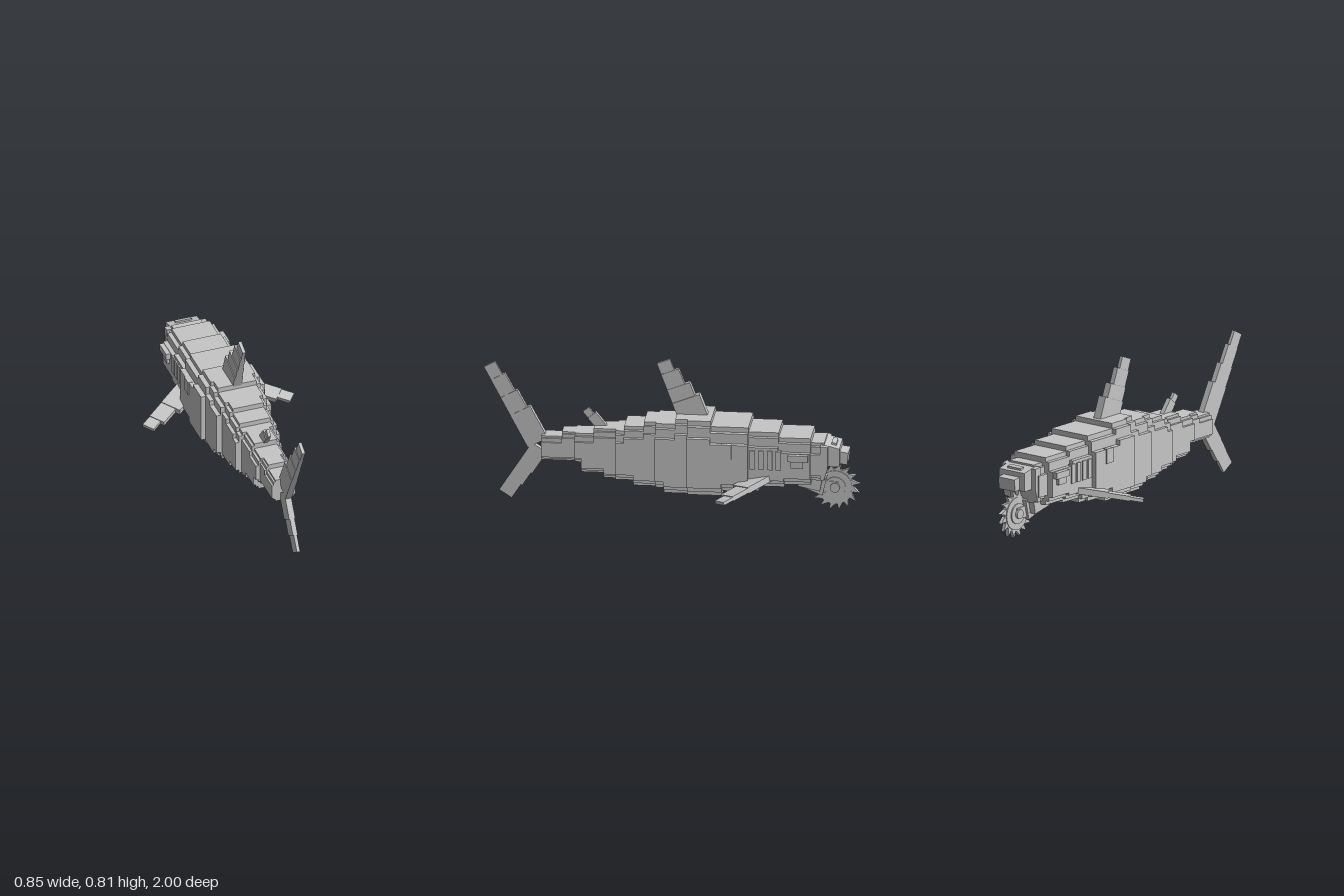
import * as THREE from 'three';

const V = (x, y, z) => new THREE.Vector3(x, y, z);

export function createModel() {
  const model = new THREE.Group();
  const grey = new THREE.MeshStandardMaterial({ color: 0xc6c6c6 });
  grey.name = 'stoneGrey';

  const add = (name, geometry, parent = model) => {
    const mesh = new THREE.Mesh(geometry, grey);
    mesh.name = name;
    parent.add(mesh);
    return mesh;
  };
  const group = (name) => {
    const g = new THREE.Group();
    g.name = name;
    model.add(g);
    return g;
  };
  // Box given by its limits on each axis
  const block = (name, x0, x1, y0, y1, z0, z1, parent) =>
    add(name, new THREE.BoxGeometry(x1 - x0, y1 - y0, z1 - z0)
      .translate((x0 + x1) / 2, (y0 + y1) / 2, (z0 + z1) / 2), parent);
  // Outline of [z, y] points extruded evenly about x = 0
  const sidePlate = (name, points, width, parent) =>
    add(name, new THREE.ExtrudeGeometry(new THREE.Shape(points.map((p) => new THREE.Vector2(...p))),
      { depth: width, bevelEnabled: false }).translate(0, 0, -width / 2).rotateY(-Math.PI / 2), parent);

  // Body: stepped slices, each list holds [end z, value] running from head to tail
  const tops = [[-0.75, 0.4], [-0.58, 0.43], [-0.42, 0.457], [-0.22, 0.485], [-0.03, 0.513],
    [0.14, 0.485], [0.245, 0.457], [0.41, 0.43], [0.58, 0.4], [0.69, 0.373]];
  const bottoms = [[-0.75, 0.19], [-0.61, 0.17], [-0.475, 0.155], [-0.28, 0.128], [0.03, 0.1],
    [0.195, 0.128], [0.355, 0.157], [0.475, 0.185], [0.69, 0.24]];
  const widths = [[-0.75, 0.12], [-0.42, 0.155], [-0.095, 0.18], [0.075, 0.155],
    [0.29, 0.125], [0.51, 0.092], [0.69, 0.067]];
  const at = (list, z) => list.find((e) => z < e[0])[1];
  const ends = [...new Set([...tops, ...bottoms, ...widths].map((e) => e[0]))].sort((a, b) => a - b);
  const body = group('body');
  let start = -0.82;
  for (const end of ends) {
    const z = (start + end) / 2;
    const top = at(tops, z), low = at(bottoms, z), w = at(widths, z), k = w / 0.18;
    block('bodyCore', -w + 0.055 * k, w - 0.055 * k, low, top, start, end, body);
    block('bodyShoulder', -w + 0.028 * k, w - 0.028 * k, low + 0.027 * k, top - 0.028 * k, start, end, body);
    block('bodySide', -w, w, low + 0.055 * k, top - 0.083 * k, start, end, body);
    start = end;
  }

  // Snout and upper jaw, tipped slightly down
  const snout = group('snout');
  sidePlate('snoutRoot', [[-0.8, 0.2], [-0.8, 0.39], [-0.84, 0.385], [-0.84, 0.265], [-0.82, 0.2]], 0.23, snout);
  sidePlate('snoutMiddle', [[-0.8, 0.27], [-0.8, 0.395], [-0.9, 0.37], [-0.9, 0.27]], 0.174, snout);
  sidePlate('snoutTip', [[-0.88, 0.28], [-0.88, 0.347], [-0.945, 0.338], [-0.938, 0.272]], 0.11, snout);
  sidePlate('noseRidge', [[-0.855, 0.375], [-0.855, 0.392], [-0.88, 0.386], [-0.88, 0.37]], 0.09, snout);

  // Eyes, gills and side panels on both sides
  for (const s of [1, -1]) {
    const side = s > 0 ? 'left' : 'right';
    const plate = (name, x0, x1, ...rest) => block(side + name, Math.min(s * x0, s * x1), Math.max(s * x0, s * x1), ...rest);
    plate('Brow', 0.1, 0.18, 0.32, 0.355, -0.74, -0.635);
    plate('Eye', 0.1, 0.17, 0.282, 0.32, -0.715, -0.65);
    for (let i = 0; i < 4; i++) {
      const z = -0.445 - i * 0.046;
      plate('Gill', 0.14, 0.163, 0.265, 0.37, z - 0.014, z + 0.014);
    }
    plate('FlankPanel', 0.16, 0.186, 0.325, 0.405, -0.335, -0.28);
  }

  // Lower jaw
  const jaw = group('lowerJaw');
  sidePlate('jawPlate', [[-0.66, 0.165], [-0.8, 0.22], [-0.83, 0.2], [-0.805, 0.09], [-0.67, 0.145]], 0.08, jaw);
  sidePlate('jawHinge', [[-0.68, 0.17], [-0.81, 0.21], [-0.795, 0.125], [-0.68, 0.15]], 0.15, jaw);
  sidePlate('jawArm', [[-0.79, 0.17], [-0.885, 0.165], [-0.885, 0.115], [-0.79, 0.1]], 0.055, jaw);

  // Toothed wheel with hooked teeth
  const saw = group('sawWheel');
  const sawY = 0.133, sawZ = -0.87, teeth = 16;
  const rim = [];
  for (let i = 0; i < teeth; i++) {
    const a = (i / teeth) * Math.PI * 2, step = (Math.PI * 2) / teeth;
    for (const [f, r] of [[0, 0.098], [0.62, 0.132], [0.72, 0.098]]) {
      rim.push([sawZ + r * Math.cos(a + f * step), sawY + r * Math.sin(a + f * step)]);
    }
  }
  sidePlate('sawBlade', rim, 0.02, saw);
  for (const [name, r, width] of [['sawDisc', 0.09, 0.03], ['sawRing', 0.056, 0.044], ['sawHub', 0.026, 0.07]]) {
    add(name, new THREE.CylinderGeometry(r, r, width, 16).toNonIndexed()
      .rotateZ(Math.PI / 2).translate(0, sawY, sawZ), saw);
  }

  // Fin of stacked slabs: steps run root to tip as [from, to, chord, thickness];
  // the edge towards edgeDir stays straight
  const fin = (name, root, tip, edgeDir, steps) => {
    const g = group(name);
    const axis = tip.clone().sub(root), length = axis.length();
    axis.normalize();
    const chordDir = edgeDir.clone().addScaledVector(axis, -edgeDir.dot(axis)).normalize();
    const normal = chordDir.clone().cross(axis).normalize();
    const tipChord = steps[steps.length - 1][2];
    for (const [t0, t1, chord, thick] of steps) {
      const slab = new THREE.BoxGeometry(chord, (t1 - t0) * length, thick);
      slab.applyMatrix4(new THREE.Matrix4().makeBasis(chordDir, axis, normal));
      const p = root.clone().addScaledVector(axis, ((t0 + t1) / 2) * length)
        .addScaledVector(chordDir, (tipChord - chord) / 2);
      add('finSlab', slab.translate(p.x, p.y, p.z), g);
    }
  };

  const back = V(0, 0, 1);
  fin('dorsalFin', V(0, 0.4, -0.11), V(0, 0.8, 0.045), back,
    [[0, 0.46, 0.155, 0.048], [0, 0.64, 0.13, 0.038], [0.4, 0.85, 0.1, 0.028], [0.6, 1, 0.075, 0.018]]);
  fin('rearDorsalFin', V(0, 0.38, 0.35), V(0, 0.515, 0.458), back,
    [[0, 0.75, 0.055, 0.026], [0.4, 1, 0.04, 0.016]]);
  fin('upperTailFin', V(0, 0.31, 0.735), V(0, 0.75, 0.97), back,
    [[0, 0.4, 0.12, 0.036], [0.2, 0.62, 0.1, 0.03], [0.4, 0.84, 0.085, 0.024], [0.6, 1, 0.068, 0.018]]);
  fin('lowerTailFin', V(0, 0.3, 0.71), V(0, 0.028, 0.885), back,
    [[0, 0.45, 0.095, 0.034], [0.2, 0.72, 0.088, 0.026], [0.5, 1, 0.08, 0.018]]);
  for (const s of [1, -1]) {
    fin(s > 0 ? 'leftPectoralFin' : 'rightPectoralFin', V(s * 0.1, 0.215, -0.535), V(s * 0.405, 0.156, -0.295),
      V(s * 0.62, 0.12, -0.78),
      [[0, 0.52, 0.115, 0.034], [0.3, 0.82, 0.09, 0.026], [0.6, 1, 0.068, 0.018]]);
  }
  return model;
}
